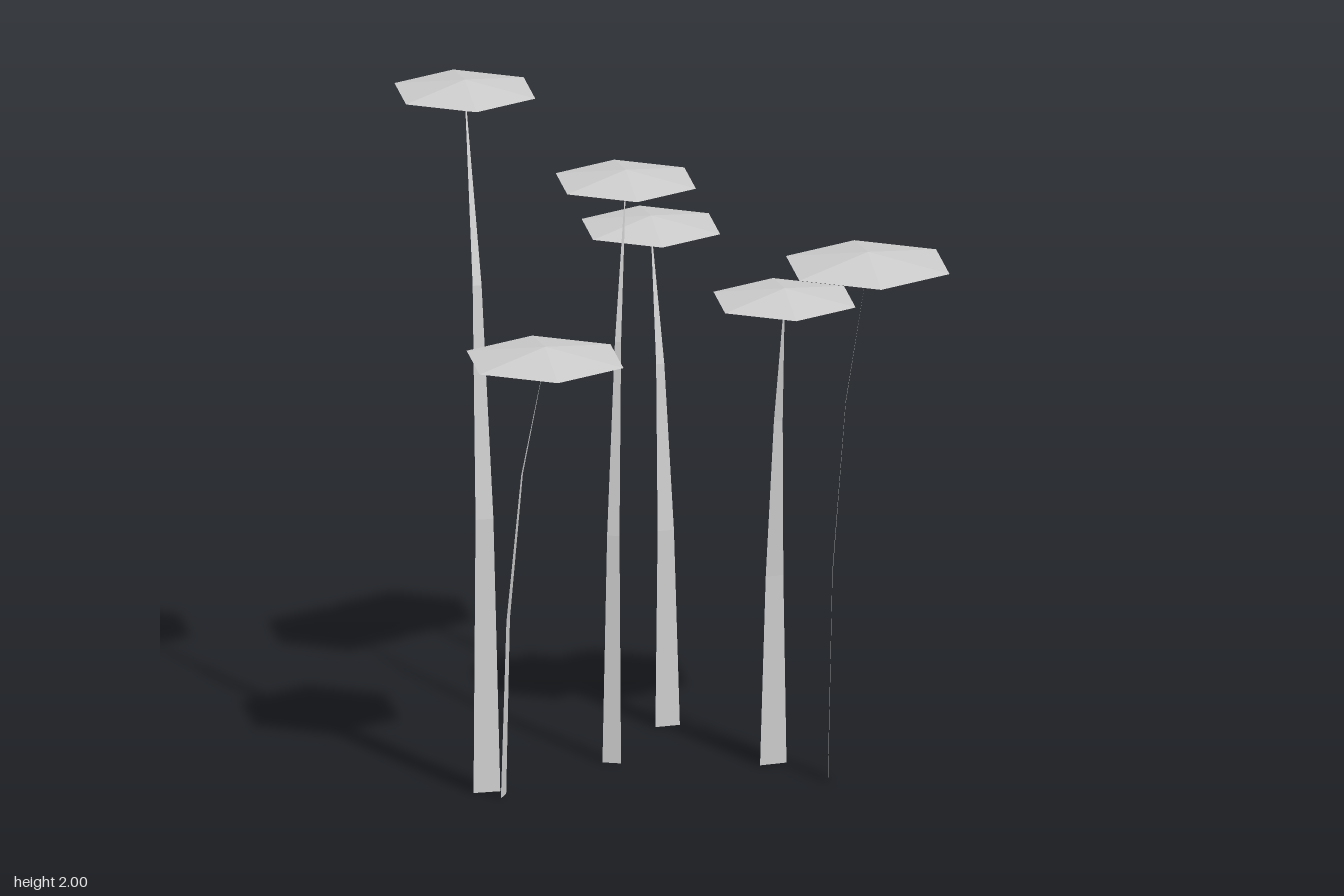
import * as THREE from 'three';

// One entry per stalk: base x, z / cap x, rim height, z / cap radius / width of the stalk at the ground
const STALKS = [
  { base: [-0.50, -0.143], top: [-0.385, 1.967, -0.384], radius: 0.211, width: 0.077 },
  { base: [-0.487, -0.085], top: [-0.418, 1.283, 0.014], radius: 0.235, width: 0.053 },
  { base: [-0.05, -0.146], top: [0.102, 1.639, -0.272], radius: 0.210, width: 0.053 },
  { base: [0.297, -0.328], top: [0.349, 1.414, -0.467], radius: 0.2075, width: 0.072 },
  { base: [0.295, 0.145], top: [0.267, 1.379, 0.230], radius: 0.213, width: 0.079 },
  { base: [0.318, 0.360], top: [0.406, 1.500, 0.428], radius: 0.245, width: 0.052 },
];

// Flat tapering blade, bent along a curve; its width lies across the lean
function stemGeometry({ base, top, width }) {
  const foot = new THREE.Vector3(base[0], 0, base[1]);
  const tip = new THREE.Vector3(...top);
  const bend = new THREE.Vector3(base[0], top[1] * 0.65, base[1]);
  const curve = new THREE.QuadraticBezierCurve3(foot, bend, tip);
  const side = new THREE.Vector3(tip.z - foot.z, 0, foot.x - tip.x).normalize();

  const segments = 3;
  const positions = [];
  const index = [];
  for (let i = 0; i <= segments; i++) {
    const t = i / segments;
    const p = curve.getPoint(t);
    const half = (width / 2) * Math.max(1 - t, 0.02);
    for (const s of [-1, 1]) {
      positions.push(p.x + side.x * half * s, p.y, p.z + side.z * half * s);
    }
    if (i < segments) {
      const a = i * 2;
      index.push(a, a + 1, a + 2, a + 1, a + 3, a + 2);
    }
  }
  const geometry = new THREE.BufferGeometry();
  geometry.setAttribute('position', new THREE.Float32BufferAttribute(positions, 3));
  geometry.setIndex(index);
  const flat = geometry.toNonIndexed();
  flat.computeVertexNormals();
  return flat;
}

// Shallow six-sided cap of unit radius, pointed above and below, corners on the x axis
function capGeometry() {
  const profile = [[0, -0.1], [1, 0], [0, 0.157]].map(([r, y]) => new THREE.Vector2(r, y));
  const geometry = new THREE.LatheGeometry(profile, 6, Math.PI / 2).toNonIndexed();
  geometry.computeVertexNormals();
  return geometry;
}

export function createModel() {
  const model = new THREE.Group();
  model.name = 'mushroomCluster';
  const grey = new THREE.MeshStandardMaterial({ color: 0xcccccc, side: THREE.DoubleSide });
  grey.name = 'paleGrey';
  const capShape = capGeometry();

  for (const stalk of STALKS) {
    const mushroom = new THREE.Group();
    mushroom.name = 'mushroom';

    const stem = new THREE.Mesh(stemGeometry(stalk), grey);
    stem.name = 'stem';

    const cap = new THREE.Mesh(capShape, grey);
    cap.name = 'cap';
    cap.position.set(...stalk.top);
    cap.scale.setScalar(stalk.radius);

    mushroom.add(stem, cap);
    model.add(mushroom);
  }
  return model;
}
